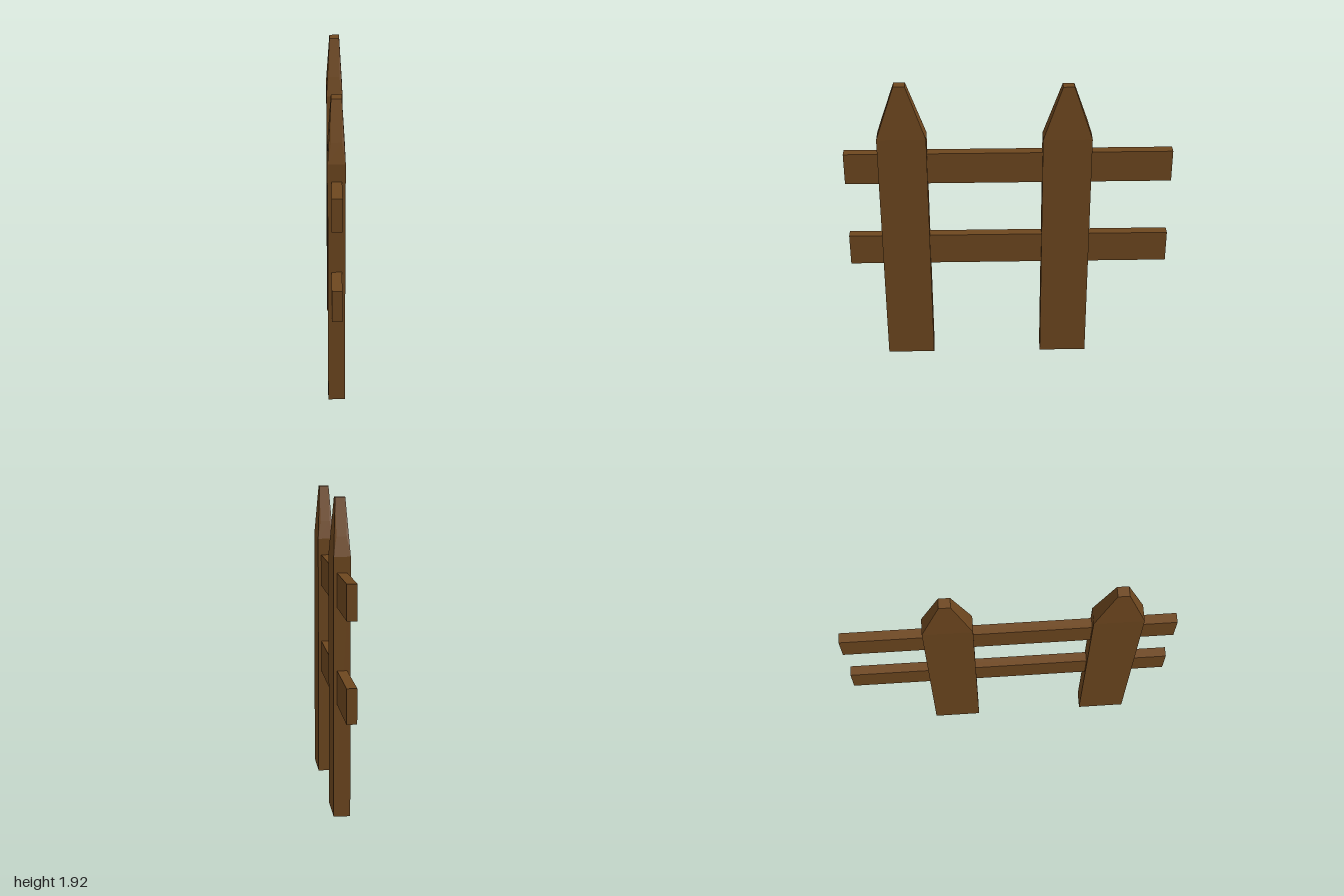
import * as THREE from 'three';

// Picket with a tapered tip whose four edges bend just above the shoulder
function picketGeometry() {
  const rings = [ // half width x, height, half depth z
    [0.05, 0, 0.149],
    [0.05, 1.58, 0.149], // shoulder
    [0.03, 1.695, 0.113], // bend in the end edges
    [0.03, 1.92, 0.034], // tip
  ];
  const corners = [[1, 1], [1, -1], [-1, -1], [-1, 1]];
  const points = rings.flatMap(([x, y, z]) => corners.flatMap(([sx, sz]) => [sx * x, y, sz * z]));
  const index = [];
  const quad = (a, b, c, d) => index.push(a, b, c, a, c, d);
  quad(3, 2, 1, 0);
  quad(12, 13, 14, 15);
  for (let i = 0; i < 4; i++) {
    const j = (i + 1) % 4;
    quad(i, j, 4 + j, 4 + i);
    if (i % 2) { // narrow ends follow the bend
      quad(4 + i, 4 + j, 8 + j, 8 + i);
      quad(8 + i, 8 + j, 12 + j, 12 + i);
    } else { // broad faces run straight to the tip, with slim corner facets
      quad(4 + i, 4 + j, 12 + j, 12 + i);
      index.push(4 + i, 12 + i, 8 + i, 4 + j, 8 + j, 12 + j);
    }
  }
  const indexed = new THREE.BufferGeometry();
  indexed.setAttribute('position', new THREE.Float32BufferAttribute(points, 3));
  indexed.setIndex(index);
  const geometry = indexed.toNonIndexed();
  geometry.computeVertexNormals();
  return geometry;
}

export function createModel() {
  const group = new THREE.Group();
  group.name = 'fence';
  const wood = new THREE.MeshStandardMaterial({ color: 0x6e471f, flatShading: true });

  // Two upright pickets, the rear one slightly shorter
  const picket = picketGeometry();
  for (const [name, z, scale] of [['frontPicket', 0.643, 1], ['rearPicket', -0.357, 0.993]]) {
    const mesh = new THREE.Mesh(picket, wood);
    mesh.name = name;
    mesh.position.z = z;
    mesh.scale.y = scale;
    group.add(mesh);
  }

  // Two horizontal rails passing through the pickets
  const rail = new THREE.BoxGeometry(0.06, 0.204, 2);
  for (const [name, y] of [['lowerRail', 0.793], ['upperRail', 1.372]]) {
    const mesh = new THREE.Mesh(rail, wood);
    mesh.name = name;
    mesh.position.y = y;
    group.add(mesh);
  }
  return group;
}
